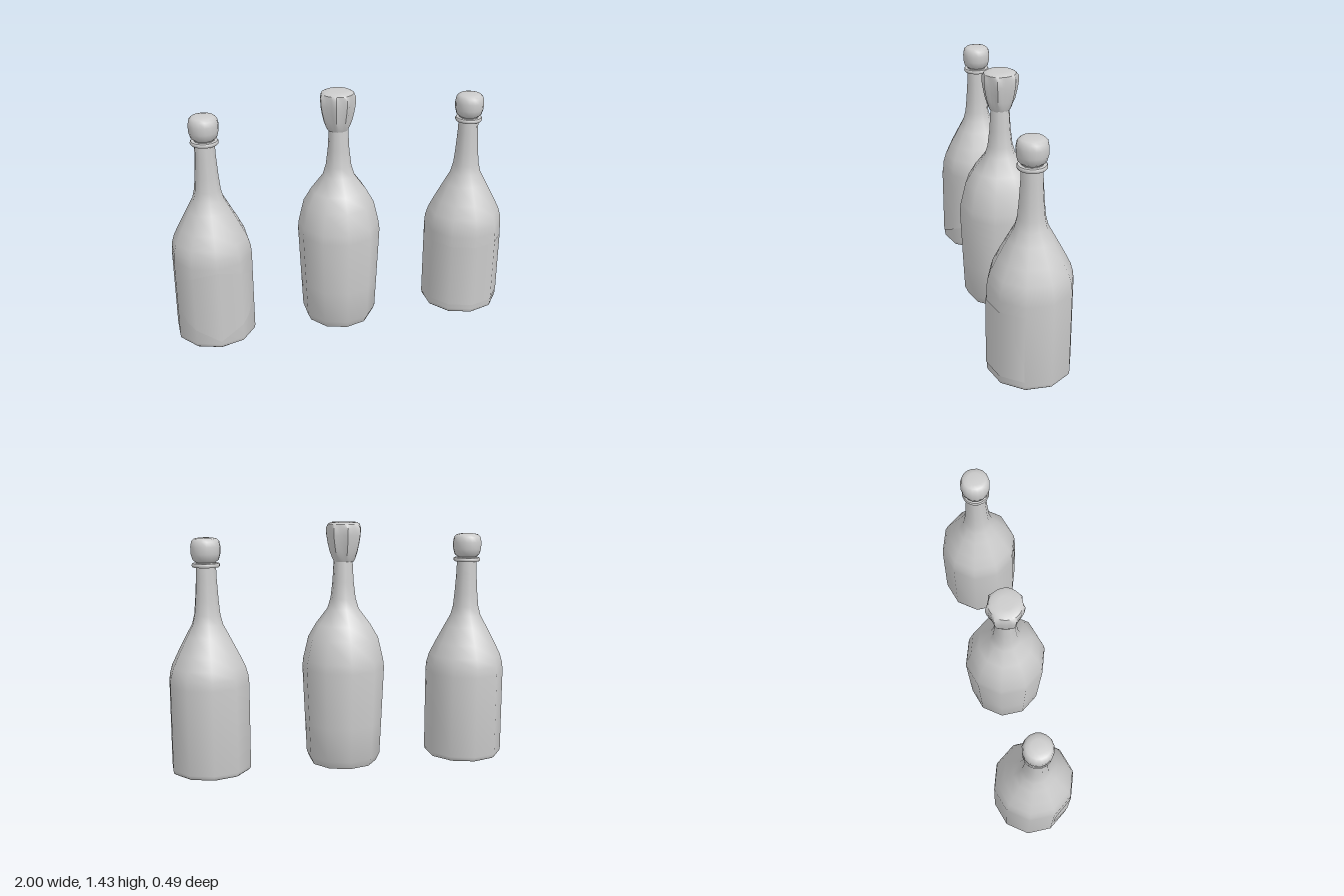
import * as THREE from 'three';
import { toCreasedNormals } from 'three/addons/utils/BufferGeometryUtils.js';

const material = new THREE.MeshStandardMaterial({ color: 0xcccccc });
const labelMaterial = new THREE.MeshStandardMaterial({ color: 0xcccccc, side: THREE.DoubleSide });
const SIDES = 10;
const R = 0.235;

function lathe(name, profile, sides = SIDES) {
  const points = profile.map(([r, y]) => new THREE.Vector2(r, y));
  const geometry = toCreasedNormals(new THREE.LatheGeometry(points, sides), 0.75);
  const mesh = new THREE.Mesh(geometry, material);
  mesh.name = name;
  return mesh;
}

// Label wrapped on the front of a ten-sided body; columns are [x, bottom, top]
function label(name, columns) {
  const positions = [], normals = [], index = [];
  const a = [R * 0.588, R * 0.809], b = [R * 0.951, R * 0.309];
  columns.forEach(([x, low, high], i) => {
    const ax = Math.abs(x);
    const z = ax < a[0]
      ? THREE.MathUtils.mapLinear(ax, 0, a[0], R, a[1])
      : THREE.MathUtils.mapLinear(ax, a[0], b[0], a[1], b[1]);
    const n = new THREE.Vector3(x, 0, z).normalize();
    for (const y of [low, high]) {
      positions.push(x, y, z + 0.005);
      normals.push(n.x, 0, n.z);
    }
    if (i) {
      const k = 2 * i;
      index.push(k - 2, k, k + 1, k - 2, k + 1, k - 1);
    }
  });
  const geometry = new THREE.BufferGeometry();
  geometry.setAttribute('position', new THREE.Float32BufferAttribute(positions, 3));
  geometry.setAttribute('normal', new THREE.Float32BufferAttribute(normals, 3));
  geometry.setIndex(index);
  const mesh = new THREE.Mesh(geometry, labelMaterial);
  mesh.name = name;
  return mesh;
}

// Straight-sided bottle with a neck ring and a rounded cork
function corkedBottle(name, punt) {
  const bottle = new THREE.Group();
  bottle.name = name;
  bottle.add(
    lathe('glassBody', [
      ...punt, [0.222, 0.003], [0.232, 0.012], [R, 0.03], [R, 0.52], [0.231, 0.57],
      [0.215, 0.625], [0.178, 0.7], [0.125, 0.8], [0.09, 0.865], [0.076, 0.92],
      [0.068, 1.0], [0.06, 1.12], [0.057, 1.225],
    ]),
    lathe('neckRing', [
      [0.055, 1.19], [0.075, 1.19], [0.079, 1.196], [0.079, 1.206], [0.075, 1.212], [0.05, 1.212],
    ], 16),
    lathe('cork', [
      [0, 1.216], [0.058, 1.218], [0.074, 1.232], [0.083, 1.265], [0.084, 1.305],
      [0.078, 1.335], [0.064, 1.349], [0.04, 1.354], [0, 1.355],
    ], 16),
  );
  return bottle;
}

// Tapered bottle with a crumpled foil cap
function foilBottle(name) {
  const bottle = new THREE.Group();
  bottle.name = name;
  bottle.add(lathe('glassBody', [
    [0, 0.06], [0.06, 0.055], [0.15, 0.012], [0.185, 0.002], [0.2, 0.004], [0.221, 0.05],
    [0.23, 0.25], [0.244, 0.58], [0.238, 0.63], [0.207, 0.76], [0.16, 0.84], [0.092, 0.93],
    [0.074, 0.99], [0.062, 1.09], [0.055, 1.22], [0.05, 1.26],
  ]));

  // Foil: a lathe whose radius is pleated around the cap
  const profile = [
    [0.058, 1.205], [0.068, 1.225], [0.08, 1.265], [0.09, 1.315], [0.097, 1.36],
    [0.098, 1.4], [0.092, 1.422], [0.075, 1.431], [0.04, 1.433], [0, 1.433],
  ].map(([r, y]) => new THREE.Vector2(r, y));
  const geometry = new THREE.LatheGeometry(profile, 40);
  const p = geometry.attributes.position;
  for (let i = 0; i < p.count; i++) {
    const x = p.getX(i), y = p.getY(i), z = p.getZ(i);
    const t = Math.atan2(x, z);
    const strength = THREE.MathUtils.smoothstep(y, 1.2, 1.28) * (1 - THREE.MathUtils.smoothstep(y, 1.4, 1.43));
    const fold = Math.pow(Math.abs(Math.sin(3.5 * t + 0.4 * Math.sin(2 * t))), 6);
    const s = 1 + strength * (0.13 * fold - 0.03 + 0.04 * Math.sin(t + 4));
    p.setXYZ(i, x * s, y, z * s);
  }
  const foil = new THREE.Mesh(toCreasedNormals(geometry, 0.7), material);
  foil.name = 'foilCap';
  foil.position.x = -0.005;
  bottle.add(foil);
  return bottle;
}

export function createModel() {
  const model = new THREE.Group();
  model.name = 'bottles';

  const right = corkedBottle('rightBottle', [[0, 0.03], [0.05, 0.028], [0.06, 0.012], [0.19, 0.006]]);
  right.position.x = -0.777;
  // Shield-shaped label with a pointed foot
  right.add(label('shieldLabel', [
    [-0.22, 0.24, 0.4], [-0.18, 0.15, 0.43], [-0.138, 0.122, 0.46], [0, 0.05, 0.5],
    [0.138, 0.122, 0.46], [0.18, 0.15, 0.43], [0.22, 0.24, 0.4],
  ]));

  const middle = foilBottle('middleBottle');
  middle.position.x = -0.015;

  const left = corkedBottle('leftBottle', [[0, 0.05], [0.05, 0.042], [0.19, 0.006]]);
  left.position.x = 0.777;
  // Rectangular wrap-around label
  left.add(label('wrapLabel', [-0.223, -0.138, 0, 0.138, 0.223].map((x) => [x, 0.06, 0.46])));

  model.add(right, middle, left);
  return model;
}
